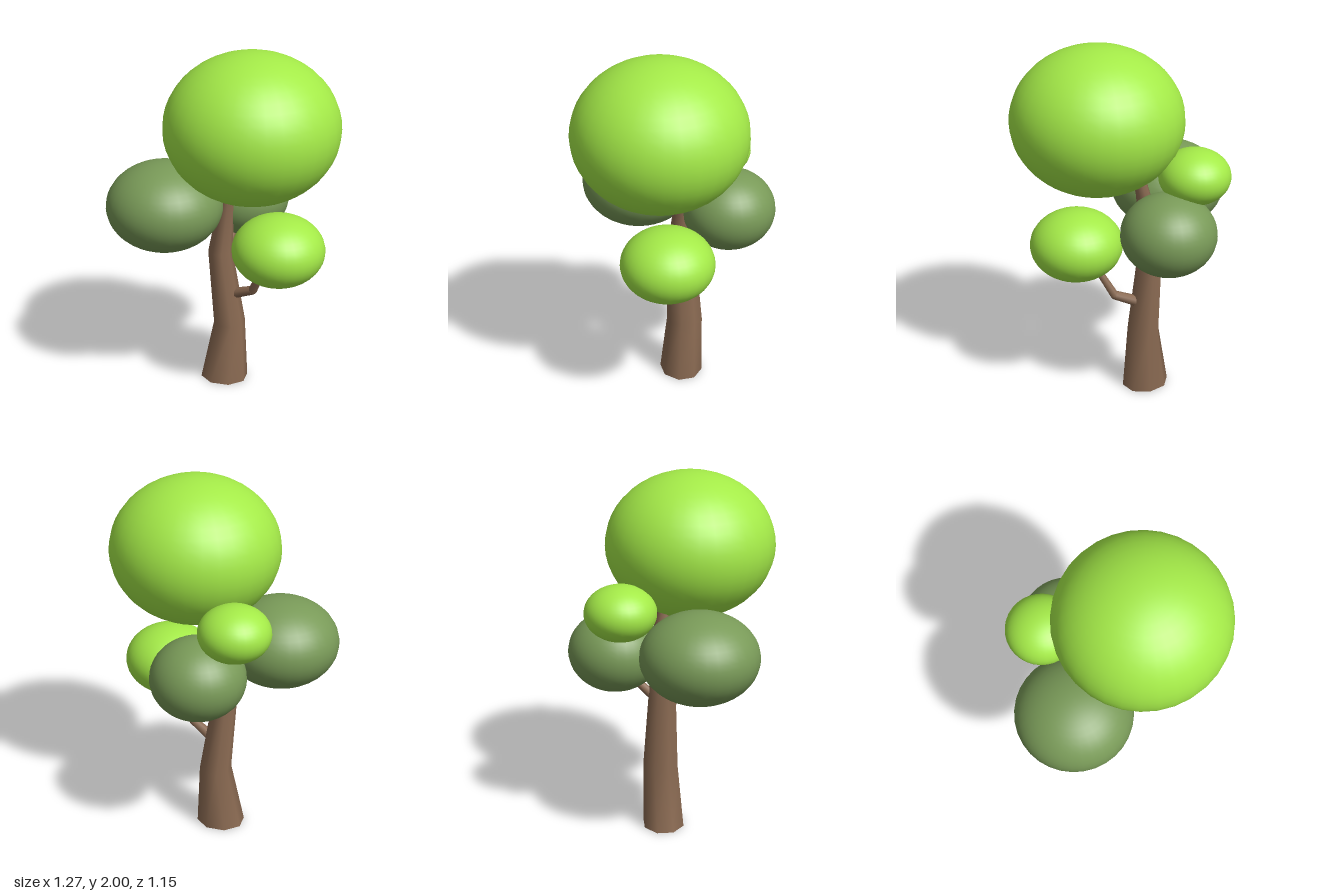
import * as THREE from 'three';

const mat = (color) => new THREE.MeshStandardMaterial({ color });
const bark = mat(0x8a6a52);
const brightLeaf = mat(0xa4ea48);
const darkLeaf = mat(0x799a58);

// Skin through elliptical rings [x, y, z, rx, rz], closed with flat caps.
function limb(name, rings, sides) {
  const pos = [], index = [];
  const addRing = ([x, y, z, rx, rz]) => {
    for (let i = 0; i < sides; i++) {
      const a = ((i + 0.5) / sides) * Math.PI * 2;
      pos.push(x + Math.sin(a) * rx, y, z + Math.cos(a) * rz);
    }
  };
  rings.forEach(addRing);
  for (let r = 0; r < rings.length - 1; r++) {
    for (let i = 0; i < sides; i++) {
      const j = (i + 1) % sides;
      const a = r * sides + i, b = r * sides + j;
      index.push(a, b, b + sides, a, b + sides, a + sides);
    }
  }
  // caps use their own vertices so the rim stays sharp
  const base = pos.length / 3;
  addRing(rings[0]);
  addRing(rings[rings.length - 1]);
  for (let i = 1; i < sides - 1; i++) {
    index.push(base, base + i + 1, base + i);
    index.push(base + sides, base + sides + i, base + sides + i + 1);
  }
  const geo = new THREE.BufferGeometry();
  geo.setAttribute('position', new THREE.Float32BufferAttribute(pos, 3));
  geo.setIndex(index);
  geo.computeVertexNormals();
  const mesh = new THREE.Mesh(geo, bark);
  mesh.name = name;
  return mesh;
}

// Bent branch: tapered cylinders with a ball at each bend.
function branch(name, points, radii) {
  const group = new THREE.Group();
  group.name = name;
  const up = new THREE.Vector3(0, 1, 0);
  const pts = points.map((p) => new THREE.Vector3(...p));
  for (let i = 0; i < pts.length - 1; i++) {
    const dir = pts[i + 1].clone().sub(pts[i]);
    const seg = new THREE.Mesh(
      new THREE.CylinderGeometry(radii[i + 1], radii[i], dir.length(), 8), bark);
    seg.name = name + 'Segment';
    seg.position.copy(pts[i]).addScaledVector(dir, 0.5);
    seg.quaternion.setFromUnitVectors(up, dir.normalize());
    group.add(seg);
    if (i > 0) {
      const joint = new THREE.Mesh(new THREE.SphereGeometry(radii[i], 8, 6), bark);
      joint.name = name + 'Joint';
      joint.position.copy(pts[i]);
      group.add(joint);
    }
  }
  return group;
}

// Flattened ball of leaves.
function foliage(name, material, center, r, ry) {
  const mesh = new THREE.Mesh(new THREE.SphereGeometry(1, 32, 24), material);
  mesh.name = name;
  mesh.position.set(...center);
  mesh.scale.set(r, ry, r);
  return mesh;
}

export function createModel() {
  const tree = new THREE.Group();
  tree.name = 'tree';

  // Trunk, flared at the foot and bending as it rises
  tree.add(limb('trunk', [
    [-0.027, 0, -0.062, 0.137, 0.12],
    [0, 0.36, -0.075, 0.088, 0.102],
    [-0.052, 0.8, -0.068, 0.067, 0.079],
    [-0.005, 1.18, -0.07, 0.04, 0.042],
    [0.03, 1.4, -0.03, 0.03, 0.03],
  ], 8));

  // Branches reaching into the lower foliage
  tree.add(branch('leftBranch',
    [[0.0, 0.53, -0.07], [0.15, 0.6, -0.01], [0.25, 0.82, 0.07]],
    [0.032, 0.025, 0.018]));
  tree.add(branch('backBranch',
    [[-0.04, 0.76, -0.08], [-0.01, 0.87, -0.2], [0.01, 0.96, -0.27]],
    [0.028, 0.022, 0.018]));

  // Crown and smaller clumps
  tree.add(foliage('crown', brightLeaf, [0.166, 1.6, 0.107], 0.466, 0.4));
  tree.add(foliage('leftFoliage', brightLeaf, [0.318, 0.92, 0.107], 0.253, 0.195));
  tree.add(foliage('backUpperFoliage', brightLeaf, [-0.17, 1.325, -0.297], 0.194, 0.15));
  tree.add(foliage('rightFoliage', darkLeaf, [-0.318, 1.115, 0.107], 0.319, 0.245));
  tree.add(foliage('backFoliage', darkLeaf, [0.022, 1.048, -0.318], 0.258, 0.223));
  return tree;
}
